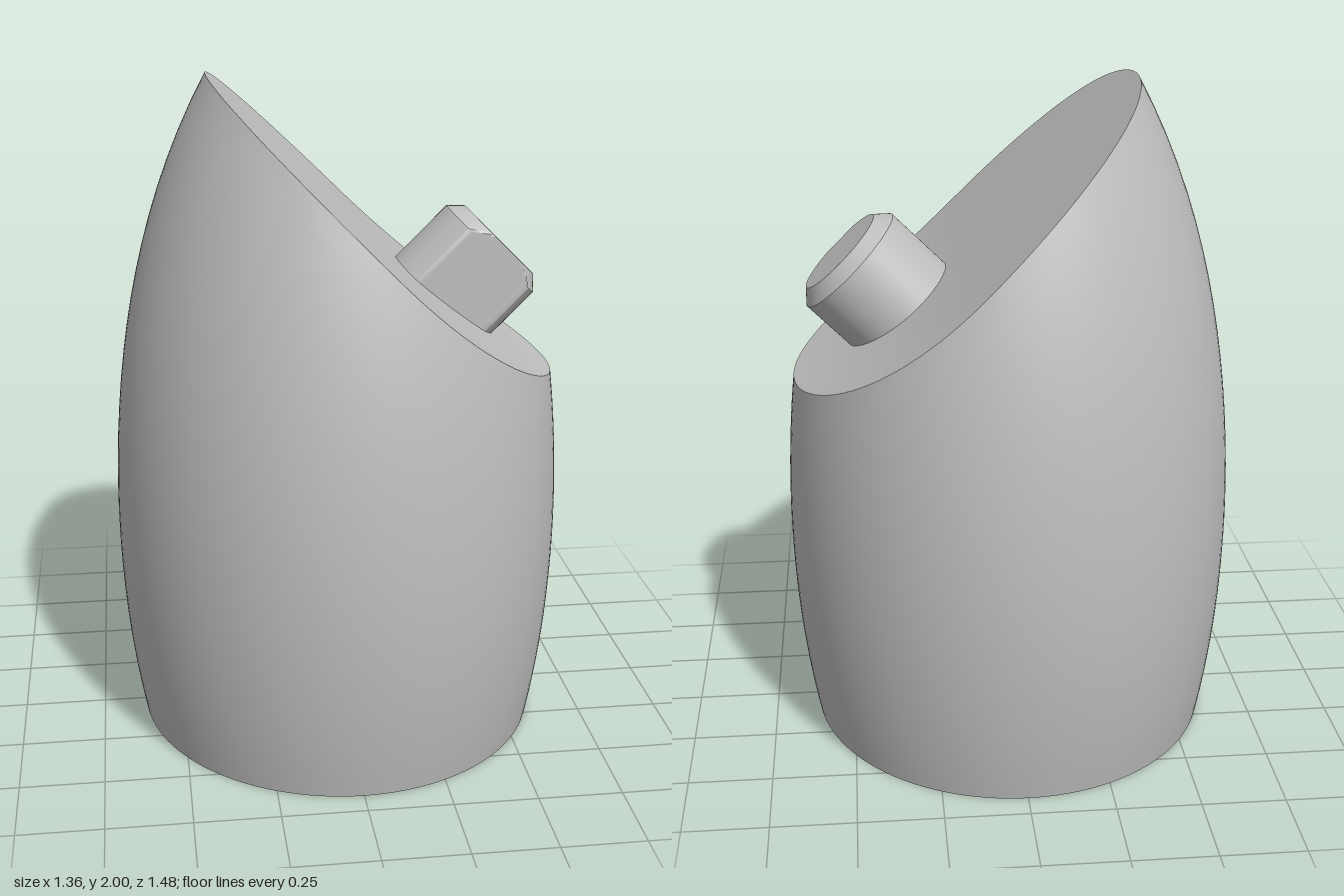
import * as THREE from 'three';
import { toCreasedNormals } from 'three/addons/utils/BufferGeometryUtils.js';

// Closed surface of rings: point(angle, ring) -> [x, y, z], rings run from bottom to top
function loft(segments, rings, point) {
  const geo = new THREE.PlaneGeometry(1, 1, segments, rings);
  const pos = geo.attributes.position;
  for (let i = 0; i < pos.count; i++) {
    const column = i % (segments + 1);
    const ring = rings - Math.floor(i / (segments + 1));
    const angle = ((column % segments) / segments) * Math.PI * 2;
    pos.setXYZ(i, ...point(angle, ring));
  }
  return toCreasedNormals(geo, 0.45);
}

// Half widths of the barrel at height y
const halfX = (y) => 0.68 - 0.13 * (y - 0.67) ** 2 - 0.0225 * (y - 0.67) ** 4;
const halfZ = (y) => 0.74 - 0.153 * (y - 0.67) ** 2;

// Slanted top: a 45 degree plane that eases out towards +x
const slant = (x) => 1.62 - x + 0.47 * Math.max(0, x - 0.1) ** 2;

// Height at which the barrel wall meets the slanted top
function rimHeight(angle) {
  let low = 0.5, high = 2.2;
  for (let i = 0; i < 40; i++) {
    const mid = (low + high) / 2;
    if (slant(halfX(mid) * Math.cos(angle)) > mid) low = mid;
    else high = mid;
  }
  return low;
}

function bodyPoint(angle, ring) {
  const wallRings = 24, capRings = 16;
  const cos = Math.cos(angle), sin = -Math.sin(angle);
  if (ring === 0) return [0, 0, 0];
  const top = rimHeight(angle);
  const y = top * Math.min(1, (ring - 1) / wallRings);
  const x = halfX(y) * cos, z = halfZ(y) * sin;
  if (ring <= wallRings + 1) return [x, y, z];
  // slanted cap, shrinking towards its centre
  const r = 1 - (ring - 1 - wallRings) / capRings;
  const capX = 0.14 + r * (x - 0.14);
  return [capX, slant(capX), r * z];
}

// Peg profile: radius and distance from the outer end, with a 45 degree chamfer
const pegProfile = [[0, -0.36], [0.187, -0.36], [0.187, -0.04], [0.177, -0.03],
  [0.167, -0.02], [0.157, -0.01], [0.147, 0], [0, 0]];

function pegPoint(angle, ring) {
  const [r, y] = pegProfile[ring];
  // flat side facing the front
  return [r * Math.cos(angle), y, Math.min(0.135, -r * Math.sin(angle))];
}

export function createModel() {
  const group = new THREE.Group();
  group.name = 'slantedBarrel';
  const grey = new THREE.MeshStandardMaterial({ color: 0xbfbfbf });
  grey.name = 'plain grey';

  const body = new THREE.Mesh(loft(128, 41, bodyPoint), grey);
  body.name = 'body';
  group.add(body);

  const peg = new THREE.Mesh(loft(96, pegProfile.length - 1, pegPoint), grey);
  peg.name = 'peg';
  peg.position.set(0.502, 1.487, 0);
  peg.rotation.z = -Math.PI / 4;
  group.add(peg);

  return group;
}
